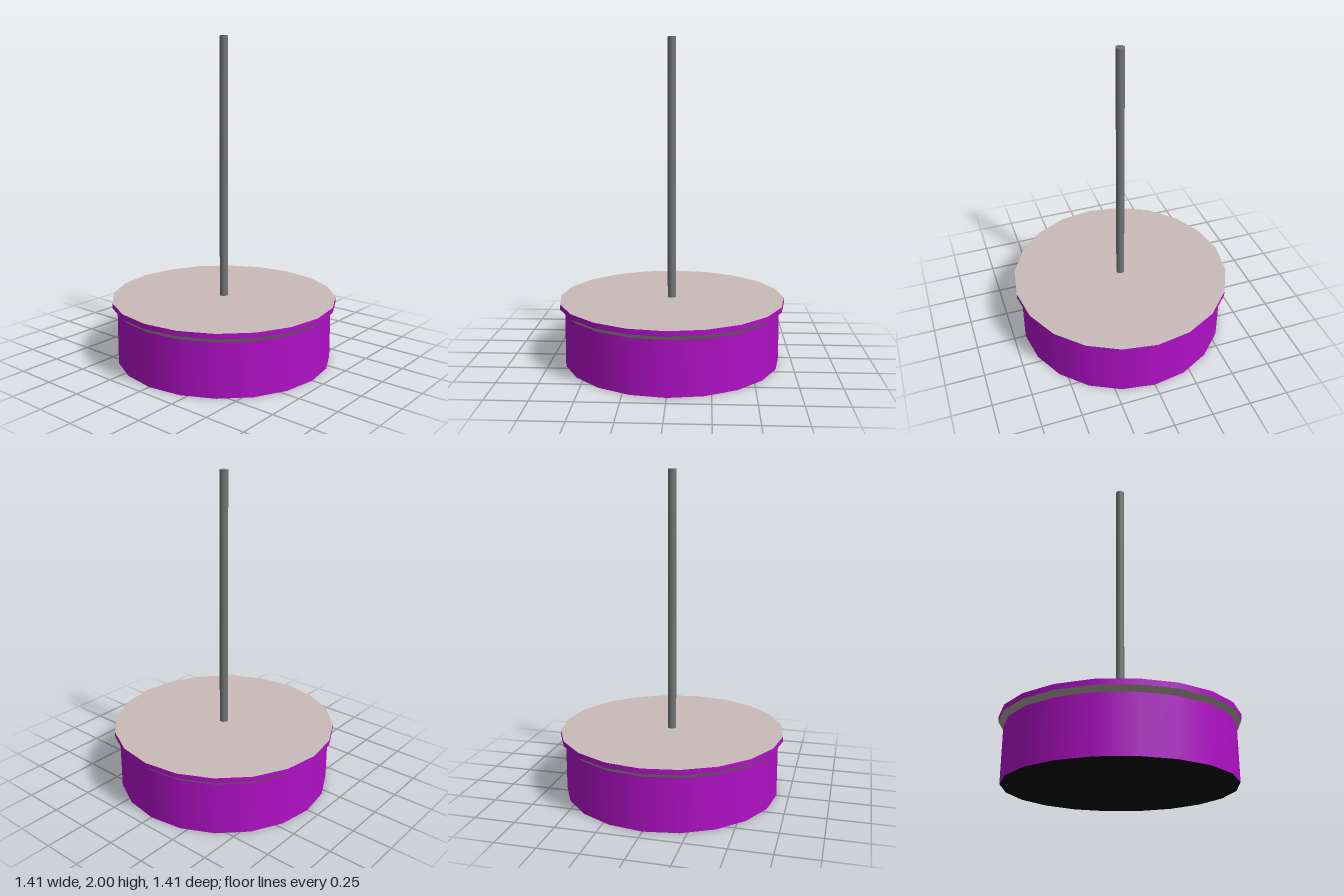
import * as THREE from 'three';

const SIDES = 20;

export function createModel() {
  const group = new THREE.Group();
  const mat = (name, color) => {
    const m = new THREE.MeshStandardMaterial({ color });
    m.name = name;
    return m;
  };
  const purple = mat('purple', 0xb010c6);
  const warmGrey = mat('warm grey', 0xa8a198);
  const palePink = mat('pale pink grey', 0xcbbbbb);
  const black = mat('black', 0x060606);
  const grey = mat('rod grey', 0x747474);

  const add = (name, geometry, material, y) => {
    const mesh = new THREE.Mesh(geometry, material);
    mesh.name = name;
    mesh.position.y = y;
    group.add(mesh);
  };

  // Open ring of wall between two heights
  const band = (name, rBottom, rTop, y0, y1, material) =>
    add(name, new THREE.CylinderGeometry(rTop, rBottom, y1 - y0, SIDES, 1, true), material, (y0 + y1) / 2);

  // Flat disc with corners on the same axes as the bands
  const disc = (name, radius, y, up, material) =>
    add(name, new THREE.CircleGeometry(radius, SIDES).rotateX(up ? -Math.PI / 2 : Math.PI / 2), material, y);

  // Drum
  disc('bottom', 0.674, 0, false, black);
  band('drumWall', 0.674, 0.674, 0, 0.33, purple);
  band('flare', 0.674, 0.704, 0.33, 0.358, warmGrey);
  band('rim', 0.704, 0.704, 0.358, 0.39, purple);
  disc('top', 0.704, 0.39, true, palePink);

  // Upright rod
  add('rod', new THREE.CylinderGeometry(0.026, 0.026, 1.61, SIDES), grey, 0.39 + 1.61 / 2);

  return group;
}
